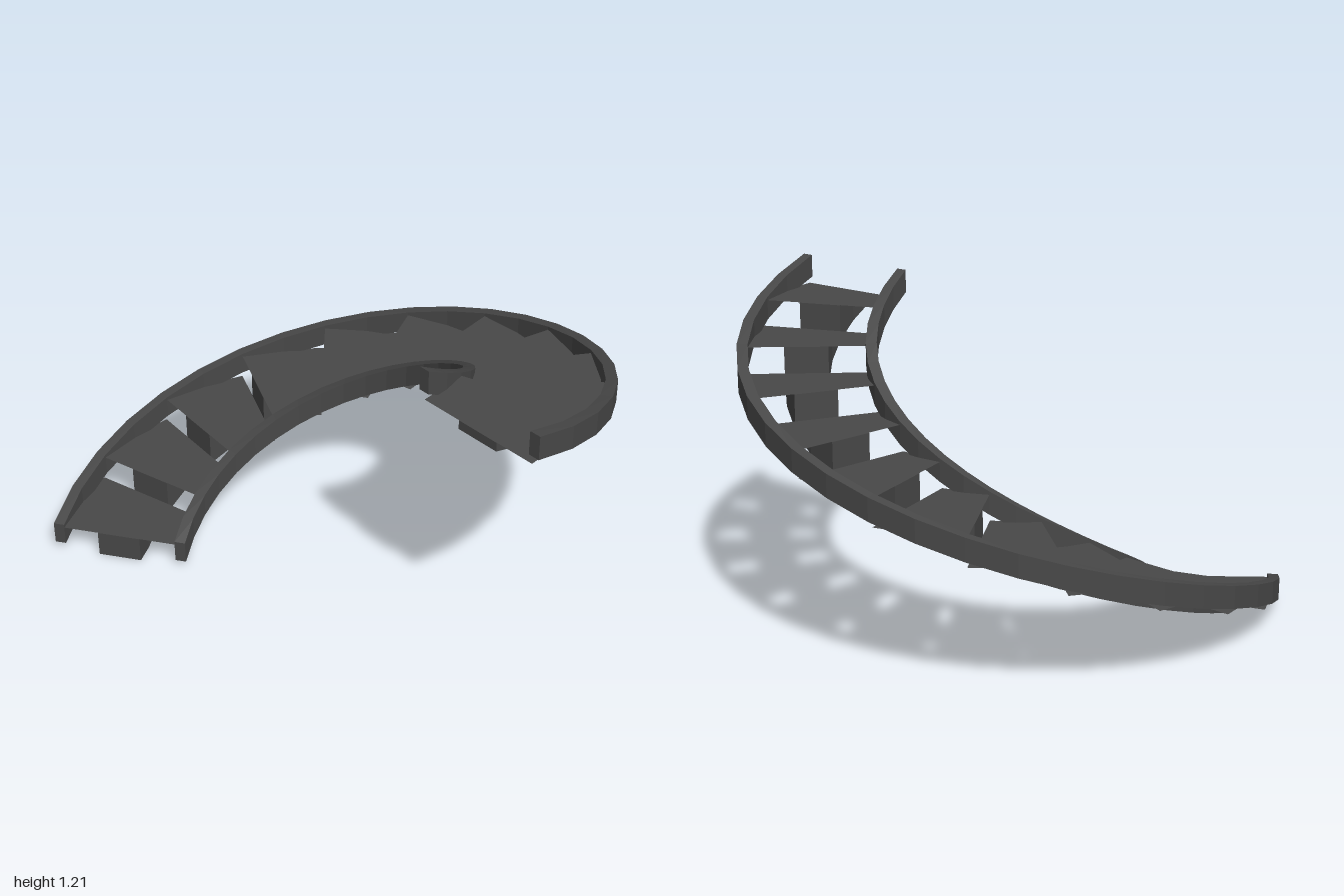
import * as THREE from 'three';

const STEPS = 11;
const RISE = 0.0995;          // height of one step
const START = -11.2;          // angle of the foot, in degrees
const TURN = 19.45;           // angle of one step
const CENTRE_Z = 0.303;

// Point on the spiral: angle runs from the left of the front view round the back.
function spiralPoint(deg, r, y) {
  const a = THREE.MathUtils.degToRad(deg);
  return new THREE.Vector3(-r * Math.cos(a), y, CENTRE_Z - r * Math.sin(a));
}

// Flat-faced geometry from quads, leaving out collapsed triangles.
function fromQuads(quads) {
  const pos = [];
  const tri = new THREE.Triangle();
  for (const [a, b, c, d] of quads) {
    for (const [p, q, r] of [[a, b, c], [a, c, d]]) {
      if (tri.set(p, q, r).getArea() < 1e-7) continue;
      for (const v of [p, q, r]) pos.push(v.x, v.y, v.z);
    }
  }
  const g = new THREE.BufferGeometry();
  g.setAttribute('position', new THREE.Float32BufferAttribute(pos, 3));
  g.computeVertexNormals();
  return g;
}

// Closed beam with a rectangular section, through stations of { deg, bottom, top }.
function beam(r0, r1, stations) {
  const rings = stations.map(({ deg, bottom, top }) => [
    spiralPoint(deg, r0, bottom), spiralPoint(deg, r1, bottom),
    spiralPoint(deg, r1, top), spiralPoint(deg, r0, top),
  ]);
  const quads = [[...rings[0]].reverse(), rings[rings.length - 1]];
  for (let i = 0; i < rings.length - 1; i++) {
    for (let j = 0; j < 4; j++) {
      const k = (j + 1) % 4;
      quads.push([rings[i][j], rings[i][k], rings[i + 1][k], rings[i + 1][j]]);
    }
  }
  return fromQuads(quads);
}

export function createModel() {
  const group = new THREE.Group();
  const steel = new THREE.MeshStandardMaterial({ color: 0x484848, side: THREE.DoubleSide });
  steel.name = 'darkSteel';
  const add = (name, geometry) => {
    const mesh = new THREE.Mesh(geometry, steel);
    mesh.name = name;
    group.add(mesh);
  };

  // Side stringers, two facets to each step
  const rail = [];
  for (let i = 0; i <= STEPS * 2; i++) {
    const y = (i / 2) * RISE;
    rail.push({ deg: START + (i / 2) * TURN, bottom: 0.027 + y, top: 0.112 + y });
  }
  add('outerStringer', beam(0.96, 1.0, rail));
  add('innerStringer', beam(0.495, 0.535, rail));

  // Central spine: stepped on top, a smooth ramp below, cut flat at the floor
  const spine = [];
  for (let s = 0; s < STEPS; s++) {
    const fractions = s === 0 ? [0, 0.335, 0.5, 1] : [0, 0.5, 1];
    for (const f of fractions) {
      spine.push({
        deg: START + (s + f) * TURN,
        bottom: Math.max(0, (s + f - 0.335) * RISE),
        top: (s + 1) * RISE - 0.001,
      });
    }
  }
  add('centralSpine', beam(0.67, 0.83, spine));

  // Thin wedge-shaped treads
  const treads = new THREE.Group();
  treads.name = 'treads';
  for (let s = 0; s < STEPS; s++) {
    const y = (s + 1) * RISE;
    const quads = [];
    for (let h = 0; h < 2; h++) {
      const a = START + (s + h / 2) * TURN;
      const b = a + TURN / 2;
      quads.push([
        spiralPoint(a, 0.52, y), spiralPoint(b, 0.52, y),
        spiralPoint(b, 0.975, y), spiralPoint(a, 0.975, y),
      ]);
    }
    const tread = new THREE.Mesh(fromQuads(quads), steel);
    tread.name = `tread${s + 1}`;
    treads.add(tread);
  }
  group.add(treads);

  return group;
}
